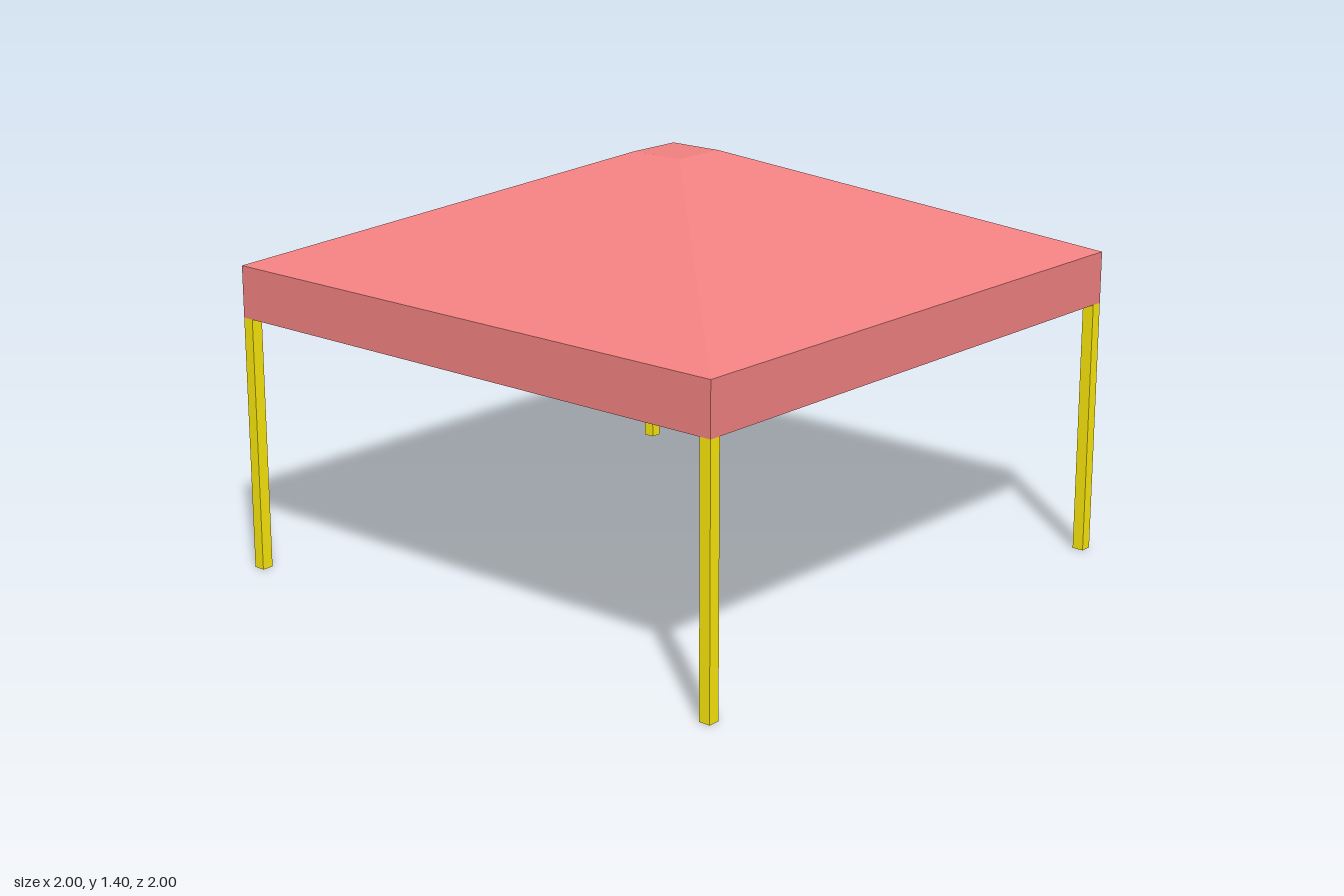
import * as THREE from 'three';

const EAVE = 1.04, HEM = 0.865, PEAK = 1.4, LEG = 0.04;

export function createModel() {
  const group = new THREE.Group();
  const cloth = new THREE.MeshStandardMaterial({ color: 0xf08080, flatShading: true });
  const pole = new THREE.MeshStandardMaterial({ color: 0xf8e60c, flatShading: true });

  // Closed straight band below the eaves
  const valance = new THREE.Mesh(new THREE.BoxGeometry(2, EAVE - HEM, 2), cloth);
  valance.name = 'valance';
  valance.position.y = (EAVE + HEM) / 2;
  group.add(valance);

  // Four-sided sloping roof with a small flat top
  const roofGeometry = new THREE.CylinderGeometry(0.097 * Math.SQRT2, Math.SQRT2, PEAK - EAVE, 4);
  roofGeometry.rotateY(Math.PI / 4);
  const roof = new THREE.Mesh(roofGeometry, cloth);
  roof.name = 'roof';
  roof.position.y = (PEAK + EAVE) / 2;
  group.add(roof);

  // Square legs flush with the corners
  const legGeometry = new THREE.BoxGeometry(LEG, HEM, LEG);
  for (const [sx, xName] of [[1, 'Left'], [-1, 'Right']]) {
    for (const [sz, zName] of [[1, 'front'], [-1, 'back']]) {
      const leg = new THREE.Mesh(legGeometry, pole);
      leg.name = `${zName}${xName}Leg`;
      leg.position.set(sx * (1 - LEG / 2), HEM / 2, sz * (1 - LEG / 2));
      group.add(leg);
    }
  }
  return group;
}
